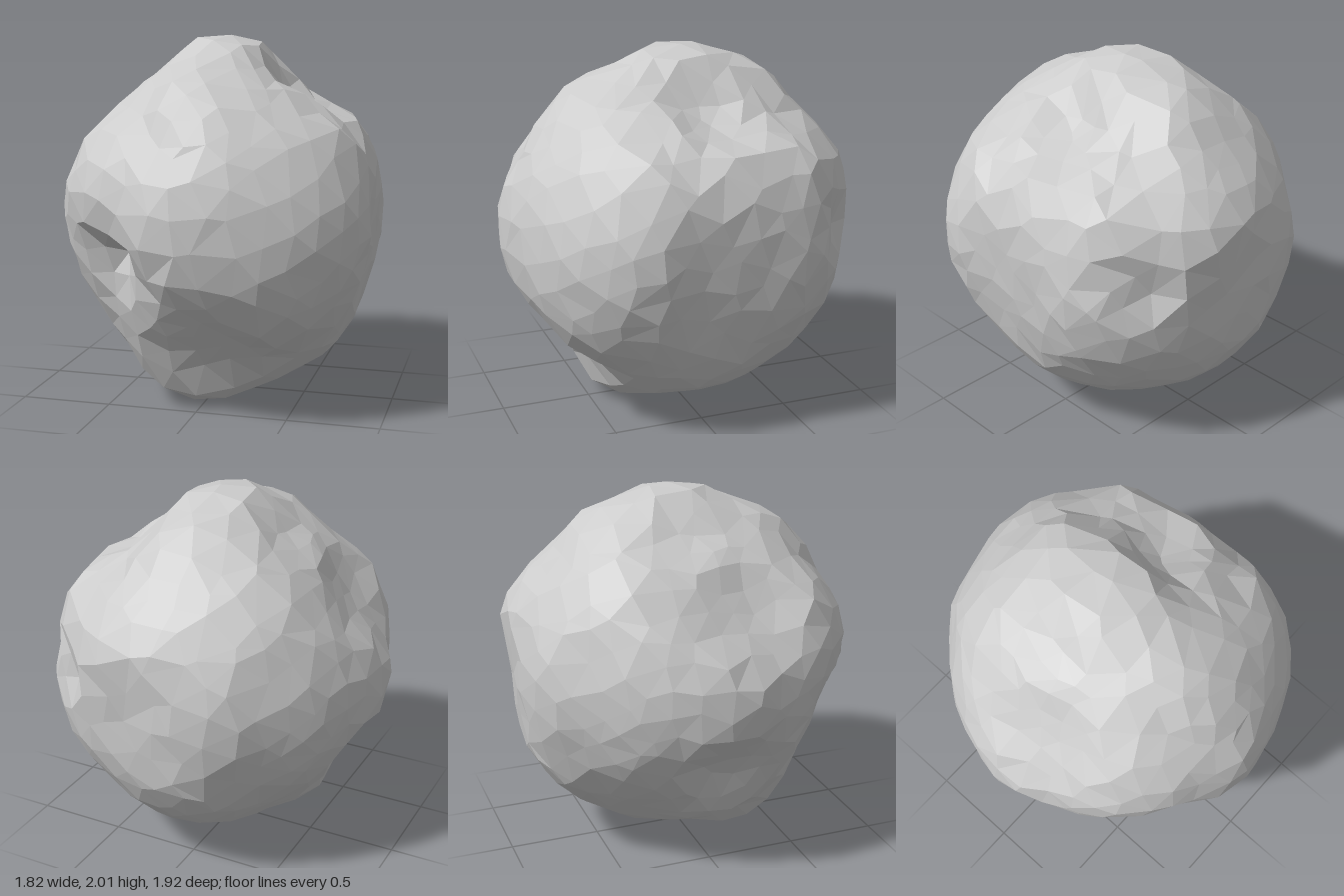
import * as THREE from 'three';

// Bumps and flats of the surface, measured from the rock's centre
const landmarks = [
  [.05, 1, -.1], [.07, .87, -.49], [-.05, .72, .66],           // crown
  [.45, .63, -.05], [.43, .66, -.4], [.22, .69, -.62], [.6, .62, .25], // slopes to the left
  [-.46, .71, 0], [-.6, .47, .1], [-.26, .59, .6], [-.23, .67, -.61],  // slopes to the right
  [.68, .42, -.6], [.8, .47, -.15], [.75, .48, .46],           // left shoulder
  [.15, .1, .97], [-.48, .4, .71], [.8, 0, .62], [.57, -.34, .75], // front
  [.88, -.05, 0], [.74, -.13, -.65], [-.9, -.03, -.08],        // sides
  [.3, .35, -.91], [.1, 0, -.92], [-.36, .1, -.88], [-.63, .1, -.64], [.05, -.55, -.81], // back
  [-.64, -.4, 0], [-.46, -.31, .64], [-.68, -.26, -.53], [-.6, -.55, -.28], [-.47, -.77, .03], // right underside
  [.1, -.62, .61], [.45, -.87, 0], [.1, -.95, -.12], [-.02, -.99, .36], // lower front and foot
].map((p) => {
  const dir = new THREE.Vector3(...p);
  return { r: dir.length(), dir: dir.normalize() };
});

// Pits and grooves: centre, angular width, depth
const dents = [
  { dir: [-.35, -.15, .62], width: .16, depth: .17 },  // front pit
  { dir: [-.44, -.38, .66], width: .15, depth: .04 },  // groove below the pit
  { dir: [.62, .06, -.72], width: .14, depth: .09 },   // rear hollow
].map((dent) => ({ ...dent, dir: new THREE.Vector3(...dent.dir).normalize() }));

// Surface radius: landmarks blended by nearness, less the dents, with fine unevenness
function radius(d) {
  let sum = 0, total = 0;
  for (const { dir, r } of landmarks) {
    const w = (d.angleTo(dir) ** 2 + .01) ** -2;
    sum += w * r;
    total += w;
  }
  let r = sum / total;
  for (const { dir, width, depth } of dents) r -= depth * Math.exp(-((d.angleTo(dir) / width) ** 2));
  return r + .008 * Math.sin(11 * d.x + 7 * d.y) * Math.sin(9 * d.z - 8 * d.y + 1);
}

export function createModel() {
  const group = new THREE.Group();
  group.name = 'asteroid';

  const geometry = new THREE.IcosahedronGeometry(1, 6);
  const pos = geometry.attributes.position, d = new THREE.Vector3();
  for (let i = 0; i < pos.count; i++) {
    d.fromBufferAttribute(pos, i);
    // shift each corner sideways for irregular facets
    const { x, y, z } = d;
    d.x += .04 * Math.sin(23 * y + 17 * z);
    d.y += .04 * Math.sin(19 * z + 21 * x + 2);
    d.z += .04 * Math.sin(22 * x + 18 * y + 4);
    d.normalize();
    d.multiplyScalar(radius(d));
    pos.setXYZ(i, d.x, d.y, d.z);
  }
  geometry.computeVertexNormals();

  const rock = new THREE.Mesh(geometry, new THREE.MeshStandardMaterial({ color: 0xcccccc, flatShading: true }));
  rock.name = 'rock';
  rock.position.y = 1;
  group.add(rock);
  return group;
}
